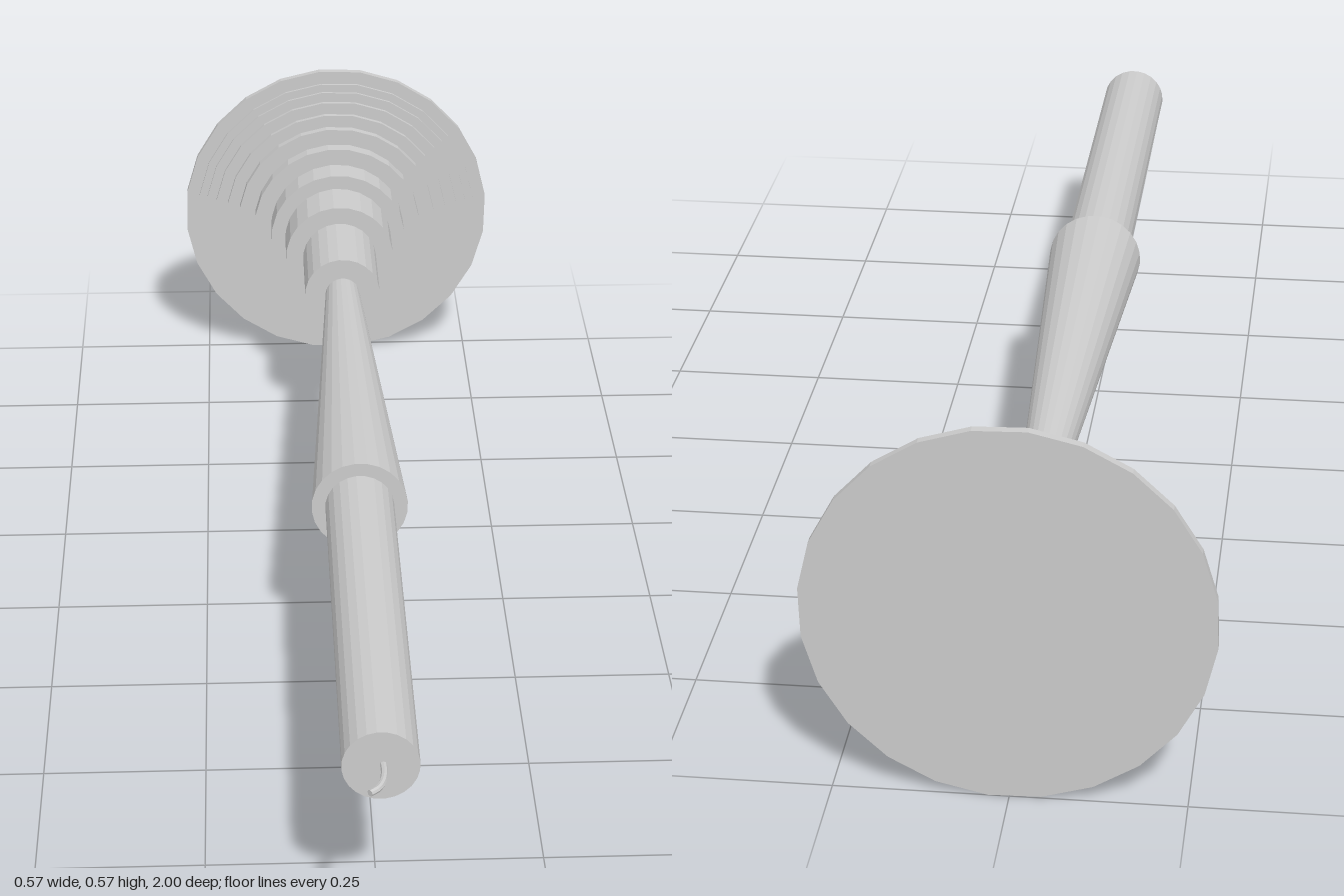
import * as THREE from 'three';

const AXIS_Y = 0.289; // height of the long axis
const material = new THREE.MeshStandardMaterial({ color: 0xcccccc, flatShading: true });

// Round section along z, from zBack to zFront
function section(name, zBack, zFront, rBack, rFront = rBack) {
  const geometry = new THREE.CylinderGeometry(rFront, rBack, zFront - zBack, 24);
  geometry.rotateX(Math.PI / 2).rotateZ(THREE.MathUtils.degToRad(6));
  const mesh = new THREE.Mesh(geometry, material);
  mesh.name = name;
  mesh.position.set(0, AXIS_Y, (zBack + zFront) / 2);
  return mesh;
}

export function createModel() {
  const model = new THREE.Group();
  model.name = 'candleAndStick';

  // Stepped foot: [radius, back z], each step ending where the next begins
  const foot = new THREE.Group();
  foot.name = 'steppedFoot';
  const steps = [
    [0.068, -0.775], [0.1, -0.865], [0.126, -0.92], [0.157, -0.946], [0.187, -0.961],
    [0.21, -0.97], [0.232, -0.977], [0.25, -0.982], [0.265, -0.987], [0.289, -1],
  ];
  let zFront = -0.612;
  steps.forEach(([radius, zBack], i) => {
    foot.add(section(`footStep${i + 1}`, zBack, zFront, radius));
    zFront = zBack;
  });
  model.add(foot);

  // Tapered stem, widening into the holder, and the candle
  model.add(section('stem', -0.612, 0.187, 0.031, 0.077));
  model.add(section('candle', 0.187, 0.927, 0.055));

  // Bent wick, closed at its tip
  const path = new THREE.CatmullRomCurve3([
    [0.003, 0.92], [0.004, 0.945], [0.001, 0.968], [-0.007, 0.986], [-0.018, 0.996],
  ].map(([x, z]) => new THREE.Vector3(x, AXIS_Y + 0.002, z)));
  const wick = new THREE.Group();
  wick.name = 'wick';
  wick.add(new THREE.Mesh(new THREE.TubeGeometry(path, 12, 0.005, 8), material));
  const tip = new THREE.Mesh(new THREE.CircleGeometry(0.005, 8), material);
  tip.position.copy(path.getPoint(1));
  tip.lookAt(tip.position.clone().add(path.getTangent(1)));
  wick.add(tip);
  wick.children[0].name = 'wickStrand';
  tip.name = 'wickTip';
  model.add(wick);

  return model;
}
